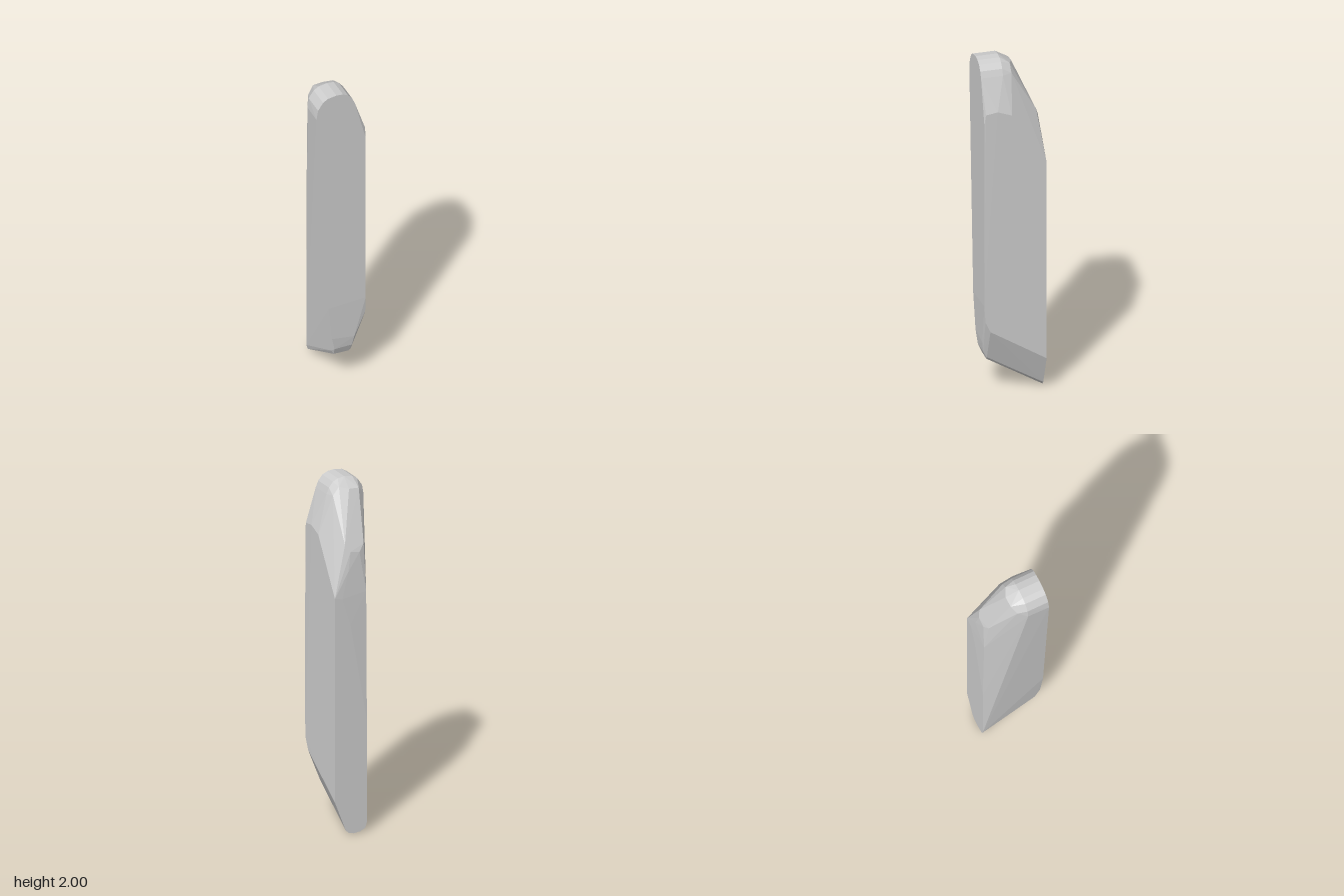
import * as THREE from 'three';
import { ConvexGeometry } from 'three/addons/geometries/ConvexGeometry.js';

// Lifts a list of [x, y] outline points to a given depth
const at = (z, outline) => outline.map(([x, y]) => new THREE.Vector3(x, y, z));

export function createModel() {
  const stone = new THREE.MeshStandardMaterial({ color: 0xcccccc });
  stone.name = 'light grey';

  // Rounded crown, shared by the front face and the ridge behind it
  const crown = [
    [-0.15, 1.87], [-0.14, 1.93], [-0.11, 1.975], [-0.08, 1.993], [-0.03, 2],
    [0.01, 1.995], [0.04, 1.98], [0.065, 1.95], [0.08, 1.915],
  ];

  const points = [
    // Flat front face
    ...at(0.177, [...crown, [0.145, 1.66], [0.146, 0.56], [-0.075, 0.55]]),
    // Crown ridge, then the rounded shoulder behind it
    ...at(0.052, crown.map(([x, y]) => [Math.max(x, -0.147), y])),
    ...at(0, [[-0.12, 1.91], [0.03, 1.965], [0.067, 1.92]]),
    ...at(-0.023, [[-0.08, 1.95], [-0.02, 1.953]]),
    // Upper limits of the flat side
    ...at(0.168, [[0.146, 1.72]]),
    ...at(0.1, [[0.147, 1.73]]),
    ...at(0.02, [[0.147, 1.7]]),
    // Sloping upper back and its rounded lower rim
    ...at(-0.141, [[-0.049, 1.67], [0.066, 1.68]]),
    ...at(-0.157, [[-0.015, 1.63], [0.04, 1.64]]),
    ...at(-0.169, [[-0.05, 1.4], [0.06, 1.53]]),
    // Flat back face with a rounded foot
    ...at(-0.177, [
      [0.147, 1.39], [0.1, 1.38], [0.05, 1.22], [-0.05, 0.65], [-0.05, 0.05],
      [-0.04, 0.02], [-0.01, 0.005], [0.03, 0], [0.06, 0.007], [0.08, 0.025], [0.147, 0.2],
    ]),
    // Rounded lower front, leading into the slanted underside
    ...at(0.17, [[-0.053, 0.33], [0.08, 0.31], [0.146, 0.46]]),
    ...at(0.162, [[-0.035, 0.25], [0.07, 0.25]]),
    ...at(0.142, [[-0.045, 0.23], [-0.03, 0.203], [0.06, 0.2], [0.073, 0.215], [0.146, 0.4]]),
  ];

  const slab = new THREE.Mesh(new ConvexGeometry(points), stone);
  slab.name = 'stoneSlab';

  const model = new THREE.Group();
  model.name = 'standingStone';
  model.add(slab);
  return model;
}
